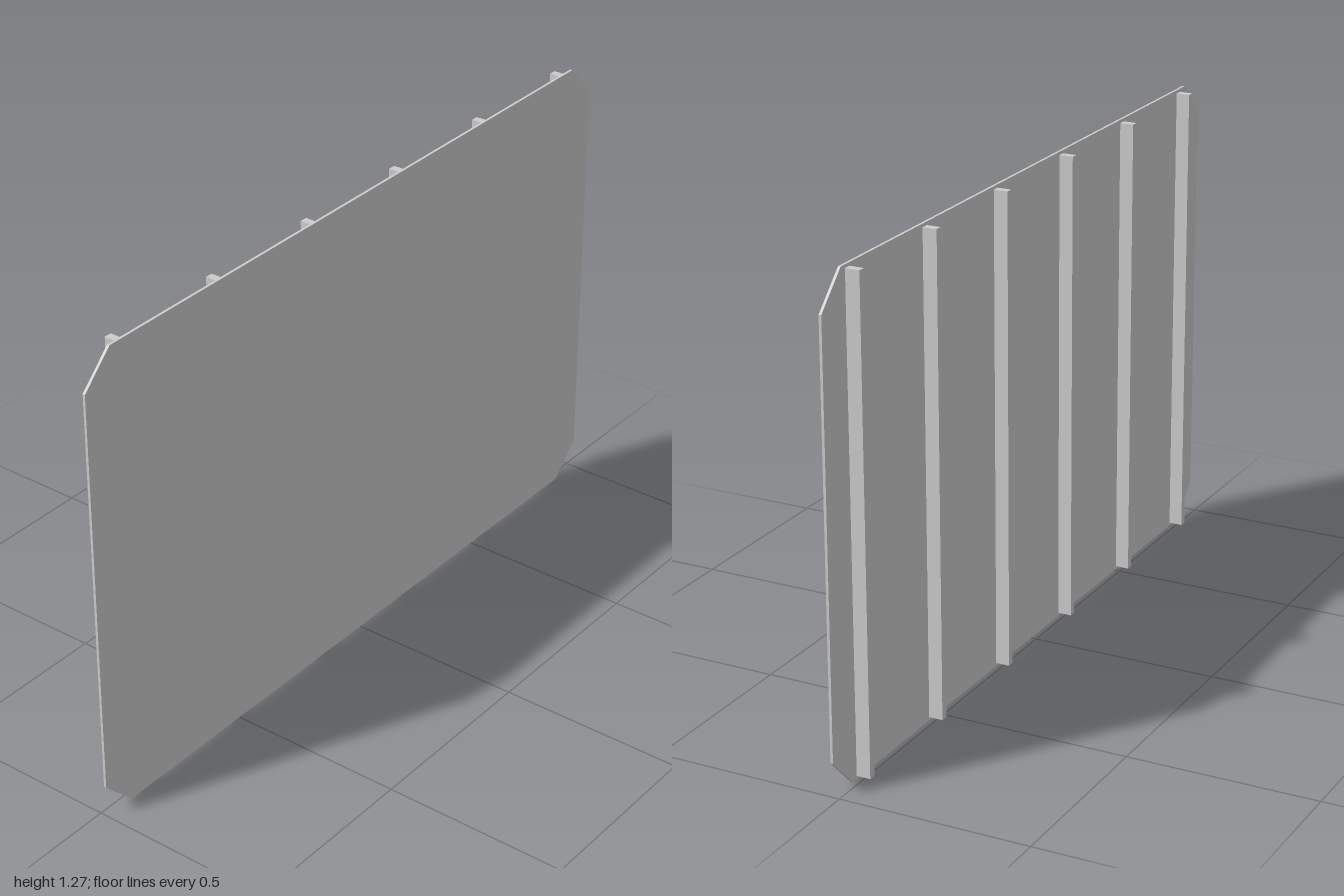
import * as THREE from 'three';

export function createModel() {
  const group = new THREE.Group();
  const material = new THREE.MeshStandardMaterial({ color: 0xcccccc, flatShading: true });

  const width = 2, height = 1.27, cut = 0.087;
  const frontZ = 0.022, panelDepth = 0.007;
  const backZ = frontZ - panelDepth;

  // Thin panel with clipped corners
  const w = width / 2;
  const outline = new THREE.Shape([
    [-w + cut, 0], [w - cut, 0], [w, cut], [w, height - cut],
    [w - cut, height], [-w + cut, height], [-w, height - cut], [-w, cut],
  ].map(([x, y]) => new THREE.Vector2(x, y)));
  const panel = new THREE.Mesh(
    new THREE.ExtrudeGeometry(outline, { depth: panelDepth, bevelEnabled: false }), material);
  panel.name = 'panel';
  panel.position.z = backZ;
  group.add(panel);

  // Six upright stiffening ribs on the back
  const ribDepth = backZ + frontZ;
  const ribGeometry = new THREE.BoxGeometry(0.02, 1.253, ribDepth);
  for (let i = 0; i < 6; i++) {
    const rib = new THREE.Mesh(ribGeometry, material);
    rib.name = `backRib${i + 1}`;
    rib.position.set(-0.87 + i * 0.351, height / 2, backZ - ribDepth / 2);
    group.add(rib);
  }

  return group;
}
